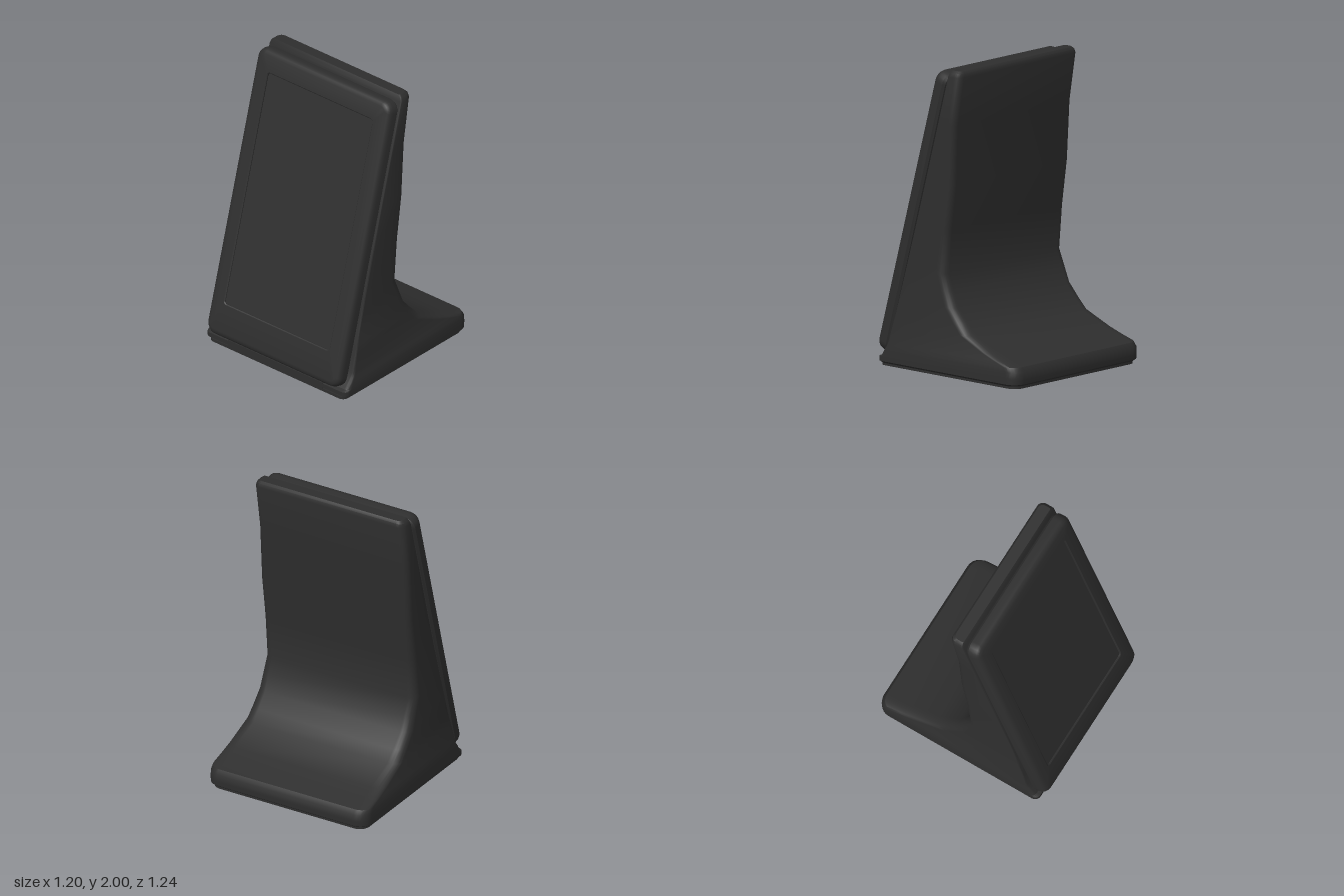
import * as THREE from 'three';
import { toCreasedNormals } from 'three/addons/utils/BufferGeometryUtils.js';

const STEPS = 6;

// Rounded rectangle loop, counter-clockwise; rLow / rHigh round the low-v and high-v corners
function ring(w, v0, v1, rLow, rHigh, d) {
  const pts = [];
  const corners = [
    [w - rLow, v0 + rLow, rLow, -Math.PI / 2], [w - rHigh, v1 - rHigh, rHigh, 0],
    [-w + rHigh, v1 - rHigh, rHigh, Math.PI / 2], [-w + rLow, v0 + rLow, rLow, Math.PI],
  ];
  for (const [cx, cy, r, start] of corners) {
    for (let i = 0; i <= STEPS; i++) {
      const a = start + (i / STEPS) * Math.PI / 2;
      pts.push([cx + r * Math.cos(a), cy + r * Math.sin(a), d]);
    }
  }
  return pts;
}

// Skin a stack of loops along +z, closing both ends
function loft(rings, crease = 0.6) {
  const n = rings[0].length, last = rings.length - 1;
  const pos = [];
  const tri = (a, b, c) => pos.push(...a, ...b, ...c);
  for (let k = 0; k < last; k++) {
    for (let i = 0; i < n; i++) {
      const j = (i + 1) % n;
      const a = rings[k][i], b = rings[k][j], c = rings[k + 1][j], d = rings[k + 1][i];
      tri(a, b, c);
      tri(a, c, d);
    }
  }
  for (let i = 1; i < n - 1; i++) {
    tri(rings[0][0], rings[0][i + 1], rings[0][i]);
    tri(rings[last][0], rings[last][i], rings[last][i + 1]);
  }
  const g = new THREE.BufferGeometry();
  g.setAttribute('position', new THREE.Float32BufferAttribute(pos, 3));
  return toCreasedNormals(g, crease);
}

export function createModel() {
  const group = new THREE.Group();
  const charcoal = new THREE.MeshStandardMaterial({ color: 0x2e2e2e });
  charcoal.name = 'charcoal plastic';
  const add = (name, geometry, parent = group) => {
    const mesh = new THREE.Mesh(geometry, charcoal);
    mesh.name = name;
    parent.add(mesh);
    return mesh;
  };

  // Stand body, horizontal sections: height, front z, back z, half width, front radius, back radius
  const sections = [
    [0.018, 0.565, -0.605, 0.585, 0.04, 0.08],
    [0.03, 0.58, -0.62, 0.598, 0.04, 0.085],
    [0.06, 0.58, -0.623, 0.598, 0.04, 0.085],
    [0.07, 0.555, -0.623, 0.598, 0.035, 0.085],
    [0.11, 0.53, -0.62, 0.598, 0.03, 0.085],
    [0.14, 0.508, -0.6, 0.595, 0.025, 0.085],
    [0.17, 0.495, -0.5, 0.591, 0.02, 0.08],
    [0.205, 0.485, -0.4, 0.587, 0.015, 0.08],
    [0.29, 0.46, -0.2, 0.58, 0.01, 0.075],
    [0.36, 0.44, -0.13, 0.576, 0.01, 0.07],
    [0.45, 0.417, -0.05, 0.572, 0.01, 0.065],
    [0.55, 0.39, -0.008, 0.569, 0.01, 0.06],
    [0.66, 0.36, 0.035, 0.566, 0.01, 0.06],
    [0.95, 0.279, 0.01, 0.563, 0.01, 0.055],
    [1.25, 0.196, -0.03, 0.562, 0.01, 0.05],
    [1.64, 0.088, -0.05, 0.562, 0.01, 0.045],
    [1.96, 0, -0.102, 0.562, 0.01, 0.045],
    [1.985, -0.007, -0.098, 0.553, 0.01, 0.04],
    [2.0, -0.012, -0.085, 0.535, 0.01, 0.035],
  ];
  const body = loft(sections.map(([y, zf, zb, w, rf, rb]) => ring(w, -zf, -zb, rf, rb, y)));
  add('standBody', body.rotateX(-Math.PI / 2));

  // Thin foot under the stand
  const foot = loft([0, 0.02].map((y) => ring(0.575, -0.575, 0.6, 0.04, 0.07, y)));
  add('footPlate', foot.rotateX(-Math.PI / 2));

  // Low lip at the front of the base
  add('frontLip', new THREE.BoxGeometry(0.8, 0.045, 0.06)).position.set(0, 0.045, 0.553);

  // Leaning display
  const display = new THREE.Group();
  display.name = 'display';
  display.position.set(0, 1.031, 0.318);
  display.rotation.x = -0.27;
  group.add(display);

  // Frame rings run from the back, round the rim, and down into the screen recess
  const frame = [[0.032, -0.053], [0.012, -0.047], [0, -0.03], [0, 0.01],
    [0.005, 0.03], [0.018, 0.045], [0.04, 0.053]]
    .map(([inset, d]) => ring(0.565 - inset, -0.985 + inset, 0.985 - inset, 0.075 - inset, 0.075 - inset, d));
  const opening = (grow, d) => ring(0.445 + grow, -0.754 - grow, 0.834 + grow, 0.02 + grow, 0.02 + grow, d);
  add('displayFrame', loft([...frame, opening(0.006, 0.053), opening(0, 0.048), opening(0, 0.04)]), display);

  // Screen sheet inside the recess
  add('screen', loft([opening(-0.001, 0.038), opening(-0.001, 0.043)]), display);

  return group;
}
